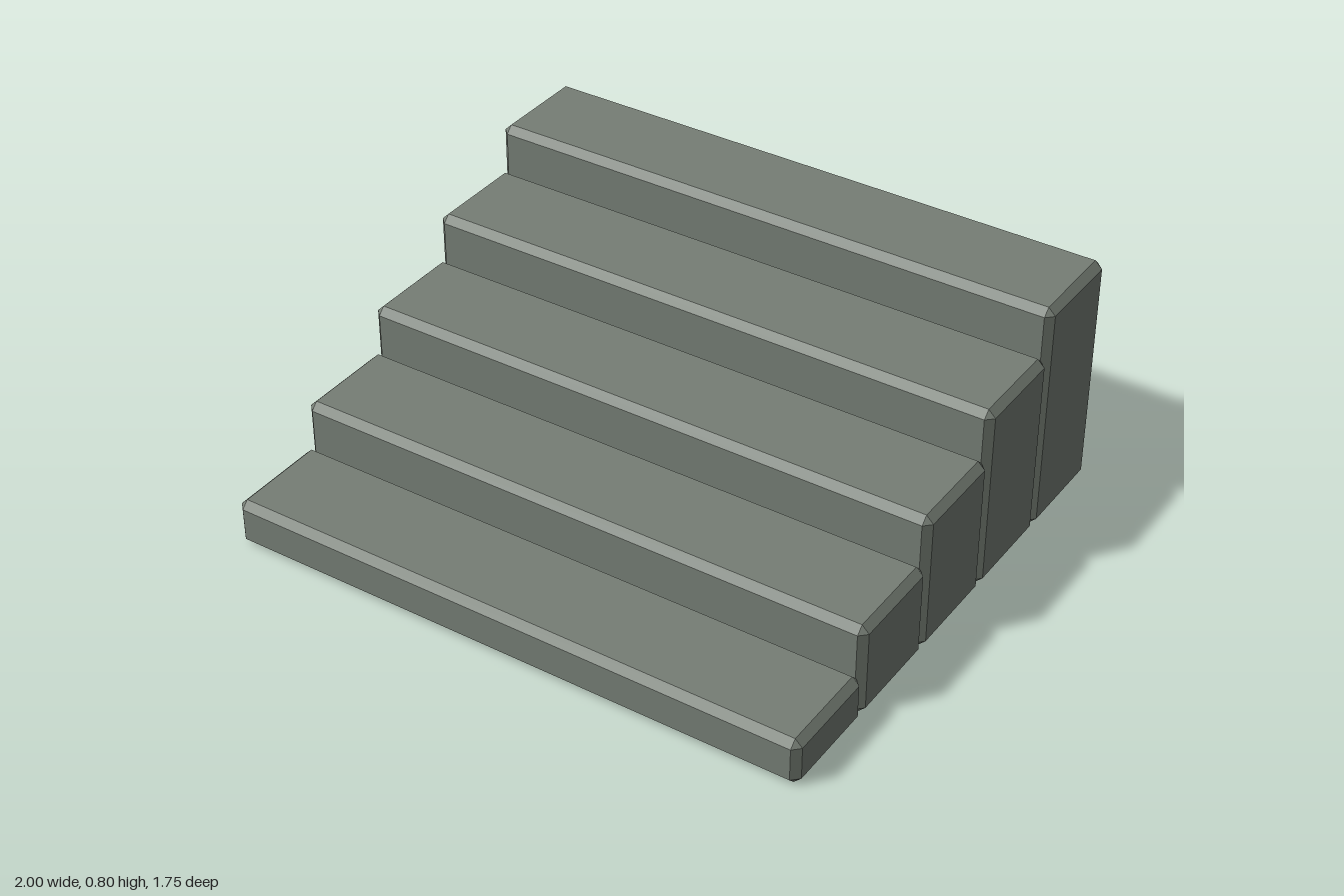
import * as THREE from 'three';
import { ConvexGeometry } from 'three/addons/geometries/ConvexGeometry.js';

const STEPS = 5, WIDTH = 2, DEPTH = 0.355, PITCH = 0.35, RISE = 0.16, BEVEL = 0.024;

// Box with every edge and corner cut flat: three inset points at each corner
function bevelledBox(w, h, d, bevel) {
  const points = [];
  for (const sx of [-1, 1]) for (const sy of [-1, 1]) for (const sz of [-1, 1]) {
    for (let axis = 0; axis < 3; axis++) {
      const inset = [bevel, bevel, bevel];
      inset[axis] = 0;
      points.push(new THREE.Vector3(
        sx * (w / 2 - inset[0]),
        sy * (h / 2 - inset[1]),
        sz * (d / 2 - inset[2])
      ));
    }
  }
  return new ConvexGeometry(points);
}

export function createModel() {
  const group = new THREE.Group();
  group.name = 'staircase';
  const stone = new THREE.MeshStandardMaterial({ color: 0x767e75, flatShading: true });
  stone.name = 'grey green stone';

  // Solid blocks rising from the front to the back
  for (let i = 0; i < STEPS; i++) {
    const height = RISE * (i + 1);
    const step = new THREE.Mesh(bevelledBox(WIDTH, height, DEPTH, BEVEL), stone);
    step.name = `step${i + 1}`;
    step.position.set(0, height / 2, ((STEPS - 1) / 2 - i) * PITCH);
    group.add(step);
  }
  return group;
}
